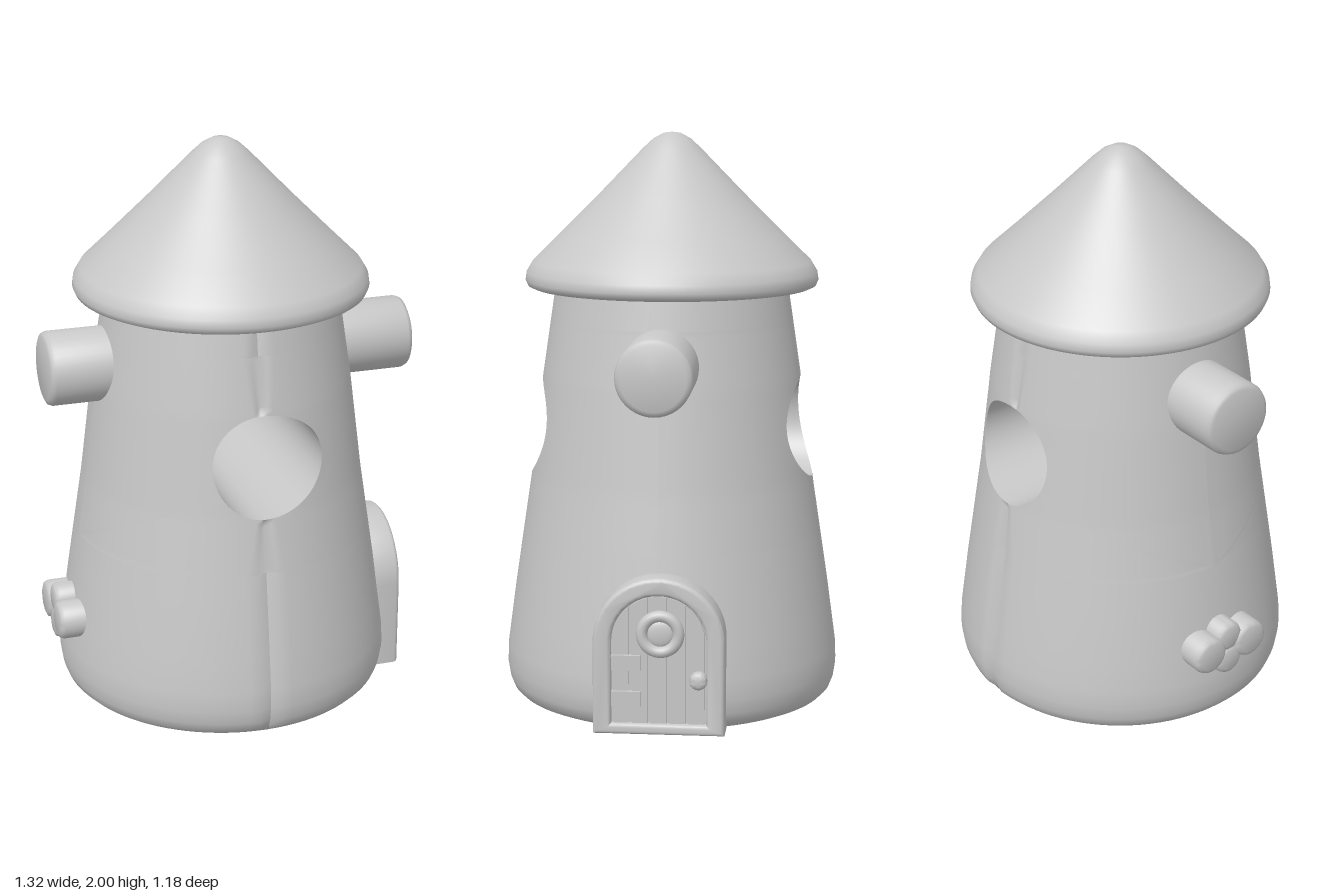
import * as THREE from 'three';
import { toCreasedNormals } from 'three/addons/utils/BufferGeometryUtils.js';

const CX = -0.02;            // tower axis
const SEGS = 96;
const HOLE = { y: 0.97, rx: 0.2, ry: 0.18, shift: 0.03 };
const PROFILE = [[0, 0.53], [0.01, 0.553], [0.03, 0.573], [0.06, 0.585], [0.11, 0.593], [0.18, 0.59],
  [0.4, 0.56], [0.8, 0.5], [1.15, 0.457], [1.5, 0.405]];

// Tower radius at a height
function radius(y) {
  let i = 1;
  while (i < PROFILE.length - 1 && y > PROFILE[i][0]) i++;
  const [y0, r0] = PROFILE[i - 1], [y1, r1] = PROFILE[i];
  return r0 + (r1 - r0) * (y - y0) / (y1 - y0);
}

const onTower = (a, y, inset = 0) => {
  const r = radius(y) - inset;
  return [CX + r * Math.sin(a), y, r * Math.cos(a)];
};

// Surface grid from a point rule
function grid(fn, nu, nv, flip = false) {
  const pos = [], idx = [];
  for (let j = 0; j <= nv; j++) for (let i = 0; i <= nu; i++) pos.push(...fn(i, j));
  for (let j = 0; j < nv; j++) for (let i = 0; i < nu; i++) {
    const a = j * (nu + 1) + i, b = a + 1, c = a + nu + 1, d = c + 1;
    if (flip) idx.push(a, d, b, a, c, d);
    else idx.push(a, b, d, a, d, c);
  }
  const g = new THREE.BufferGeometry();
  g.setAttribute('position', new THREE.Float32BufferAttribute(pos, 3));
  g.setIndex(idx);
  g.computeVertexNormals();
  return g;
}

// Round bar along +y with a softened end
function bar(r, len, b = 0.02) {
  const pts = [[r, 0], [r, len - b], [r - b * 0.3, len - b * 0.3], [r - b, len], [0, len]];
  return toCreasedNormals(new THREE.LatheGeometry(pts.map(p => new THREE.Vector2(...p)), 40), 0.9);
}

// Arched doorway outline standing on y = base
function arch(path, half, spring, base) {
  path.moveTo(-half, base);
  path.lineTo(half, base);
  path.lineTo(half, spring);
  path.absarc(0, spring, half, 0, Math.PI, false);
  path.lineTo(-half, base);
  return path;
}

export function createModel() {
  const model = new THREE.Group();
  const stone = new THREE.MeshStandardMaterial({ color: 0xc8c8c8 });
  stone.name = 'plain grey';
  const add = (name, geo, parent = model) => {
    const m = new THREE.Mesh(geo, stone);
    m.name = name;
    parent.add(m);
    return m;
  };

  // Tower rings below and above the opening, with a seam groove front and back
  const tower = new THREE.Group();
  tower.name = 'tower';
  model.add(tower);
  const ring = ys => grid((i, j) =>
    onTower(i / SEGS * Math.PI * 2, ys[j], i % (SEGS / 2) === 0 && ys[j] > 0.02 ? 0.014 : 0), SEGS, ys.length - 1);
  add('towerBase', ring([0, 0.01, 0.03, 0.06, 0.11, 0.18, 0.29, 0.4, 0.5, 0.6]), tower);
  add('towerNeck', ring([1.35, 1.5]), tower);
  const floor = add('towerFloor', new THREE.CircleGeometry(radius(0), SEGS).rotateX(Math.PI / 2), tower);
  floor.position.x = CX;

  // Middle band: rectangle of angle and height blended inward to the oval opening
  const lo = 0.6, hi = 1.35, H = SEGS / 2, V = 24, N = 2 * (H + V);
  const border = k => {
    k %= N;
    if (k < H) return [-1 + 2 * k / H, lo];
    if (k < H + V) return [1, lo + (hi - lo) * (k - H) / V];
    if (k < 2 * H + V) return [1 - 2 * (k - H - V) / H, hi];
    return [-1, hi - (hi - lo) * (k - 2 * H - V) / V];
  };
  const rim = k => {
    const [u, y] = border(k);
    const phi = Math.atan2(y - HOLE.y, u * 0.75);
    const dx = HOLE.rx * Math.cos(phi) + HOLE.shift * Math.abs(Math.cos(phi));
    const ry = HOLE.y + HOLE.ry * Math.sin(phi);
    return [Math.asin(dx / radius(ry)), ry];
  };
  const STEPS = 14;
  const band = back => grid((i, j) => {
    const [u, y] = border(i), [a, ry] = rim(i), t = j / STEPS;
    const groove = Math.abs(u) < 1e-6 && j < STEPS ? 0.014 : 0;
    const p = onTower(u * Math.PI / 2 * (1 - t) + a * t, y * (1 - t) + ry * t, groove);
    if (back) p[2] *= -1;
    return p;
  }, N, STEPS, back);
  add('towerFront', band(false), tower);
  add('towerBack', band(true), tower);
  add('tunnel', grid((i, j) => {
    const [a, y] = rim(i), p = onTower(a, y);
    p[2] *= 1 - j / 4;
    return p;
  }, N, 8), tower);

  // Conical roof with a rounded lip and tip
  const roofPts = [[0.3, 1.495], [0.42, 1.48], [0.465, 1.462], [0.49, 1.46], [0.508, 1.468], [0.516, 1.487],
    [0.512, 1.515], [0.49, 1.552], [0.4, 1.64], [0.25, 1.79], [0.1, 1.945], [0.065, 1.977], [0.03, 1.996], [0, 2]];
  add('roof', new THREE.LatheGeometry(roofPts.map(p => new THREE.Vector2(...p)), SEGS)).position.x = CX;

  // Round beams on both sides
  for (const s of [1, -1]) {
    const beam = add(s > 0 ? 'leftBeam' : 'rightBeam', bar(0.13, 0.31));
    beam.rotation.z = -s * Math.PI / 2;
    beam.position.set(s * 0.35, 1.23, 0);
  }

  // Four-lobed ornament low on the right side
  const ornament = new THREE.Group();
  ornament.name = 'cloverOrnament';
  model.add(ornament);
  for (const [z, y, r, x] of [[-0.088, 0.31, 0.068, 0.66], [0.09, 0.31, 0.068, 0.66],
    [0, 0.353, 0.055, 0.652], [0, 0.257, 0.055, 0.652]]) {
    const lobe = add('lobe', bar(r, x - 0.48, 0.018), ornament);
    lobe.rotation.z = Math.PI / 2;
    lobe.position.set(-0.48, y, z);
  }

  // Arched door on the left side, modelled facing +z then turned to +x
  const door = new THREE.Group();
  door.name = 'door';
  door.rotation.y = Math.PI / 2;
  door.position.z = -0.01;
  model.add(door);
  const frame = arch(new THREE.Shape(), 0.209, 0.325, 0.02);
  frame.holes.push(arch(new THREE.Path(), 0.175, 0.325, 0.03));
  const frameGeo = new THREE.ExtrudeGeometry(frame, {
    depth: 0.135, bevelThickness: 0.015, bevelSize: 0.014, bevelSegments: 3, curveSegments: 24 });
  add('doorFrame', toCreasedNormals(frameGeo, 0.6), door).position.z = 0.45;
  const panel = arch(new THREE.Shape(), 0.18, 0.325, 0.015);
  add('doorPanel', new THREE.ExtrudeGeometry(panel, { depth: 0.134, bevelEnabled: false, curveSegments: 24 }), door)
    .position.z = 0.44;

  // Vertical planks with tops following the arch
  const w = 0.064;
  for (let i = -2; i <= 2; i++) {
    const x0 = Math.max(i * w - w / 2 + 0.005, -0.155), x1 = Math.min(i * w + w / 2 - 0.005, 0.155);
    const plank = new THREE.Shape();
    plank.moveTo(x0, 0.02);
    plank.lineTo(x1, 0.02);
    for (let k = 0; k <= 4; k++) {
      const x = x1 + (x0 - x1) * k / 4;
      plank.lineTo(x, 0.325 + Math.sqrt(0.158 ** 2 - x * x));
    }
    add('plank', new THREE.ExtrudeGeometry(plank, { depth: 0.013, bevelEnabled: false }), door).position.z = 0.571;
  }

  // Hinges, porthole and knob
  for (const y of [0.13, 0.255])
    add('hinge', new THREE.BoxGeometry(0.1, 0.052, 0.04), door).position.set(-0.11, y, 0.577);
  add('portholeRing', new THREE.TorusGeometry(0.062, 0.02, 12, 36), door).position.set(0.005, 0.355, 0.585);
  const glass = add('portholeGlass', new THREE.SphereGeometry(0.045, 24, 12), door);
  glass.position.set(0.005, 0.355, 0.583);
  glass.scale.z = 0.25;
  const knob = add('knob', bar(0.03, 0.06, 0.015), door);
  knob.rotation.x = Math.PI / 2;
  knob.position.set(0.135, 0.2, 0.56);

  return model;
}
